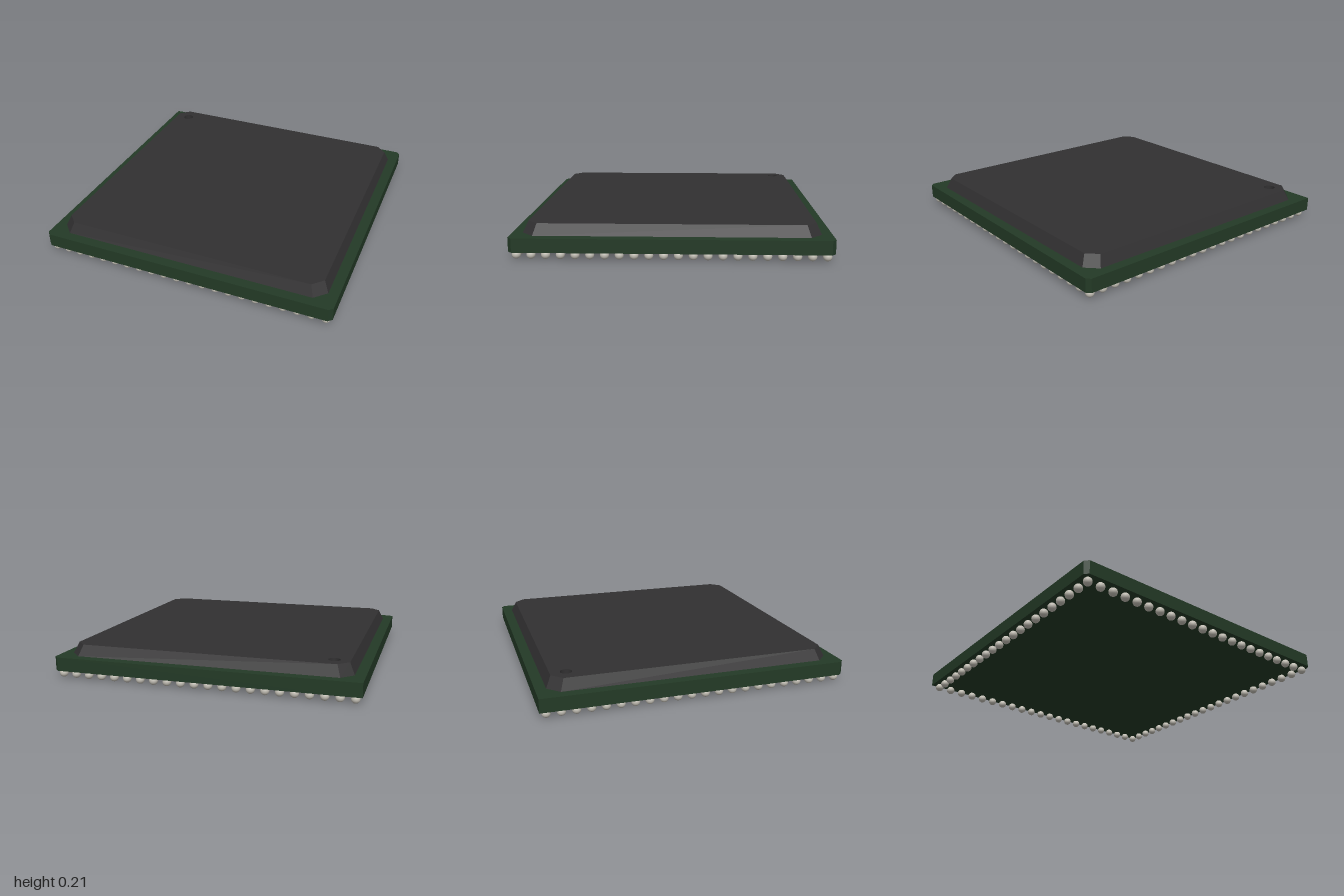
import * as THREE from 'three';

const BOARD_BOTTOM = 0.05, BOARD_TOP = 0.14, TOP = 0.212;

// Square outline with cut corners; y of the shape becomes -z once laid flat
function octagon(h, c) {
  return [[h - c, -h], [h, -h + c], [h, h - c], [h - c, h],
    [-h + c, h], [-h, h - c], [-h, -h + c], [-h + c, -h]].map(p => new THREE.Vector2(...p));
}

// Flat-shaded sloping wall between two outlines at heights y0 and y1
function slopedWall(lower, upper, y0, y1) {
  const pos = [];
  lower.forEach((a, i) => {
    const j = (i + 1) % lower.length, b = lower[j], c = upper[j], d = upper[i];
    const A = [a.x, y0, -a.y], B = [b.x, y0, -b.y], C = [c.x, y1, -c.y], D = [d.x, y1, -d.y];
    pos.push(...A, ...B, ...C, ...A, ...C, ...D);
  });
  const g = new THREE.BufferGeometry();
  g.setAttribute('position', new THREE.Float32BufferAttribute(pos, 3));
  g.computeVertexNormals();
  return g;
}

export function createModel() {
  const group = new THREE.Group();
  const green = new THREE.MeshStandardMaterial({ color: 0x233a26 });
  green.name = 'board green';
  const black = new THREE.MeshStandardMaterial({ color: 0x313031, side: THREE.DoubleSide });
  black.name = 'mould black';
  const solder = new THREE.MeshStandardMaterial({ color: 0xc2beb4 });
  solder.name = 'solder grey';

  const add = (name, geometry, material, parent = group) => {
    const mesh = new THREE.Mesh(geometry, material);
    mesh.name = name;
    parent.add(mesh);
    return mesh;
  };

  // Board: three clipped corners, the marked back corner left square
  const outline = octagon(1, 0.025);
  outline.splice(4, 2, new THREE.Vector2(-1, 1));
  const board = new THREE.ExtrudeGeometry(new THREE.Shape(outline),
    { depth: BOARD_TOP - BOARD_BOTTOM, bevelEnabled: false });
  board.rotateX(-Math.PI / 2).translate(0, BOARD_BOTTOM, 0);
  add('board', board, green);

  // Moulded cover with a round marker hole down to the board
  const cover = new THREE.Group();
  cover.name = 'cover';
  group.add(cover);
  const lower = octagon(0.933, 0.075), upper = octagon(0.9, 0.066);
  add('coverSides', slopedWall(lower, upper, BOARD_TOP, TOP), black, cover);
  const lid = new THREE.Shape(upper);
  lid.holes.push(new THREE.Path().absarc(-0.8, 0.8, 0.037, 0, Math.PI * 2, true));
  add('coverTop', new THREE.ShapeGeometry(lid, 16).rotateX(-Math.PI / 2).translate(0, TOP, 0), black, cover);
  const depth = TOP - BOARD_TOP;
  const wall = new THREE.CylinderGeometry(0.037, 0.037, depth, 32, 1, true);
  add('markerHoleWall', wall, black, cover).position.set(-0.8, BOARD_TOP + depth / 2, -0.8);

  // One ring of solder balls around the underside
  const balls = new THREE.Group();
  balls.name = 'solderBalls';
  group.add(balls);
  const ball = new THREE.SphereGeometry(0.028, 20, 14);
  const count = 22, edge = 0.955, step = 2 * edge / (count - 1);
  for (let i = 0; i < count; i++) {
    for (let j = 0; j < count; j++) {
      if (i % (count - 1) && j % (count - 1)) continue;
      add('solderBall', ball, solder, balls).position.set(-edge + i * step, 0.028, -edge + j * step);
    }
  }
  return group;
}
